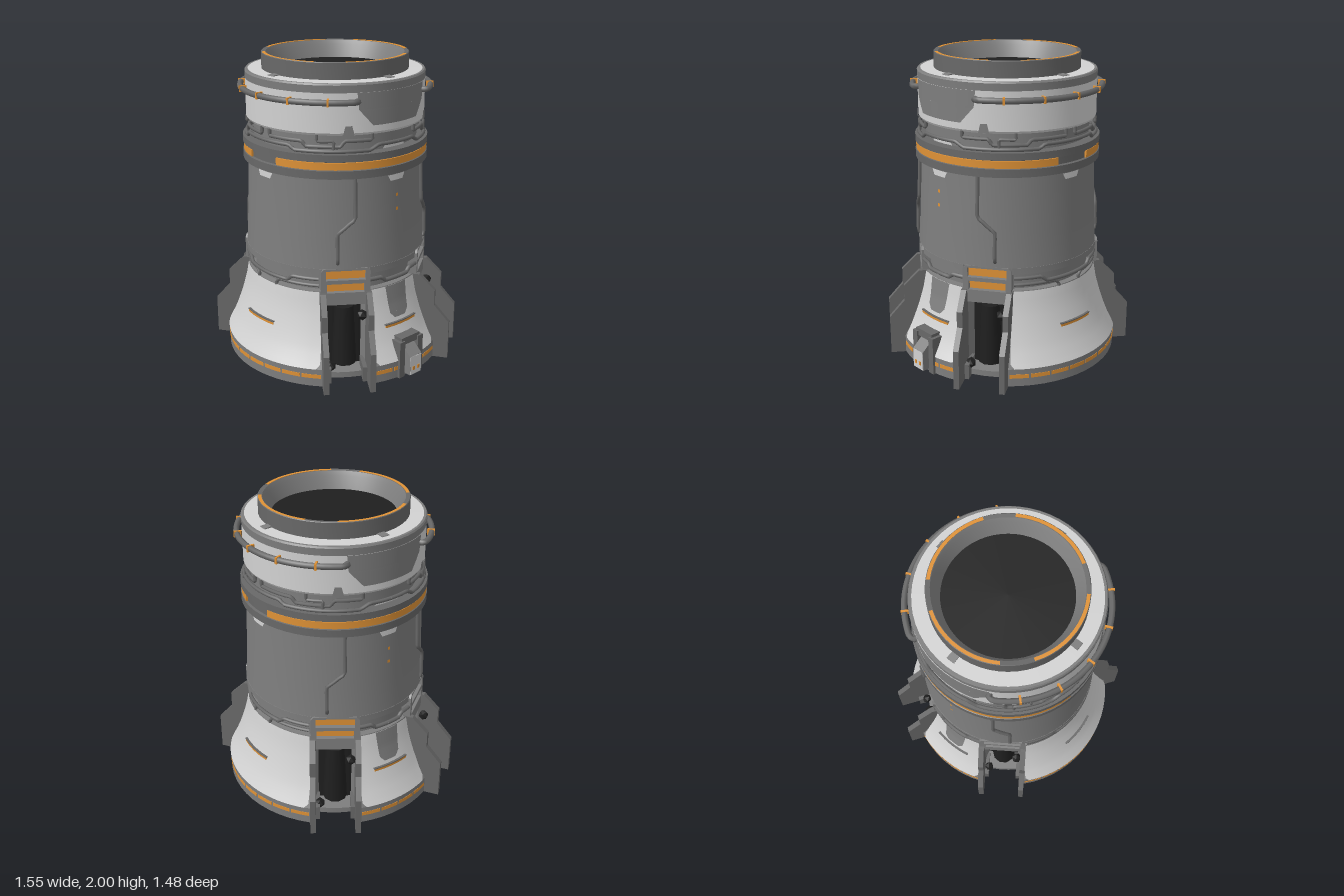
import * as THREE from 'three';
import { mergeGeometries, toCreasedNormals } from 'three/addons/utils/BufferGeometryUtils.js';

const D = Math.PI / 180;
const BAYS = [55.5, 124.5, 235.5, 304.5];   // leg bays, degrees from the front (+z) towards +x
const SKIRTS = [[0, 43], [90, 22], [180, 43], [270, 22]];
const V = (pts) => pts.map(([x, y]) => new THREE.Vector2(x, y));

export function createModel() {
  const root = new THREE.Group();
  root.name = 'tower';
  const model = new THREE.Group();
  model.name = 'towerBody';
  model.position.x = -0.0125;
  root.add(model);

  const paint = (name, color) => {
    const m = new THREE.MeshStandardMaterial({ color });
    m.name = name;
    return m;
  };
  const gray = paint('bodyGray', 0x7e7e7e);
  const dark = paint('trimGray', 0x686868);
  const light = paint('panelLightGray', 0xd2d2d2);
  const orange = paint('accentOrange', 0xdf9236);
  const black = paint('interiorBlack', 0x1f1f1f);

  const add = (name, geo, mat, parent = model) => {
    const m = new THREE.Mesh(geo, mat);
    m.name = name;
    parent.add(m);
    return m;
  };

  // Full turn of an (r, y) profile listed from bottom to top on the outside
  const turn = (name, mat, pts) =>
    add(name, toCreasedNormals(new THREE.LatheGeometry(V(pts), 56), 0.45), mat);

  // Capped arc of a closed (r, y) profile
  const sector = (name, mat, centre, half, pts) => {
    const a = (centre - half) * D, b = (centre + half) * D;
    const segs = Math.max(2, Math.ceil(half / 3.2));
    const side = toCreasedNormals(new THREE.LatheGeometry(V([...pts, pts[0]]), segs, a, b - a), 0.45);
    const start = new THREE.ShapeGeometry(new THREE.Shape(V(pts))).rotateY(a - Math.PI / 2);
    const end = new THREE.ShapeGeometry(new THREE.Shape(V(pts.map(([x, y]) => [-x, y])))).rotateY(b + Math.PI / 2);
    return add(name, mergeGeometries([side, start.toNonIndexed(), end.toNonIndexed()]), mat);
  };
  const block = (name, mat, centre, half, r0, r1, y0, y1) =>
    sector(name, mat, centre, half, [[r0, y0], [r1, y0], [r1, y1], [r0, y1]]);

  // Painted face wrapped on the wall; half width runs from h0 (bottom) to h1 (top)
  const decal = (name, mat, centre, h0, h1, y0, y1, radius) => {
    const geo = new THREE.PlaneGeometry(2, 1, Math.max(2, Math.ceil(h1 / 2.5)), 8);
    const p = geo.attributes.position;
    for (let i = 0; i < p.count; i++) {
      const v = p.getY(i) + 0.5, y = y0 + (y1 - y0) * v;
      const phi = (centre + p.getX(i) * (h0 + (h1 - h0) * v)) * D;
      const r = radius(y) + 0.005;
      p.setXYZ(i, r * Math.sin(phi), y, r * Math.cos(phi));
    }
    geo.computeVertexNormals();
    return add(name, geo, mat);
  };

  // Pipe through [degrees, y, r] stops, following the round wall
  const pipe = (name, mat, stops, thick) => {
    const pts = [];
    stops.forEach((s, i) => {
      const n = stops[i + 1];
      const steps = n ? Math.max(2, Math.ceil(Math.abs(n[0] - s[0]) / 5)) : 1;
      for (let k = 0; k < steps; k++) {
        const [a, y, r] = n ? s.map((c, j) => c + (n[j] - c) * k / steps) : s;
        pts.push(new THREE.Vector3(r * Math.sin(a * D), y, r * Math.cos(a * D)));
      }
    });
    const curve = new THREE.CatmullRomCurve3(pts, false, 'catmullrom', 0.3);
    return add(name, new THREE.TubeGeometry(curve, pts.length * 2, thick, 7), mat);
  };

  const skirtProfile = [[0.735, 0.12], [0.68, 0.225], [0.636, 0.35], [0.603, 0.47], [0.583, 0.585]];
  const skirtRadius = (y) => {
    let i = 0;
    while (i < skirtProfile.length - 2 && y > skirtProfile[i + 1][1]) i++;
    const [r0, y0] = skirtProfile[i], [r1, y1] = skirtProfile[i + 1];
    return r0 + (r1 - r0) * (y - y0) / (y1 - y0);
  };
  const bodyRadius = (y) => 0.595 - 0.025 * (y - 0.7) / 0.625;

  // Floor, dark core and main barrel
  turn('floor', gray, [[0.62, 0.002], [0.62, 0.04], [0, 0.04]]);
  add('underside', new THREE.CircleGeometry(0.62, 56).rotateX(Math.PI / 2), light);
  turn('innerCore', black, [[0.5, 0.04], [0.5, 0.6]]);
  turn('lowerRecess', gray, [[0.45, 0.56], [0.54, 0.56], [0.54, 0.75]]);
  turn('barrel', gray, [[0.53, 0.74], [0.593, 0.74], [0.582, 0.95], [0.57, 1.33]]);

  // Collar with orange band
  turn('collar', dark, [[0.55, 1.325], [0.6, 1.325], [0.6, 1.375], [0.585, 1.38], [0.585, 1.425],
    [0.6, 1.43], [0.6, 1.475], [0.53, 1.475]]);
  for (const a of [90, 270]) block('collarBand', orange, a, 78, 0.58, 0.596, 1.38, 1.425);

  // Upper drum, deck and muzzle ring
  turn('upperRecess', gray, [[0.53, 1.47], [0.53, 1.59]]);
  turn('upperDrum', light, [[0.52, 1.585], [0.565, 1.585], [0.575, 1.6], [0.575, 1.84]]);
  turn('drumLip', gray, [[0.575, 1.84], [0.577, 1.885], [0.57, 1.895], [0.555, 1.895]]);
  turn('deck', light, [[0.555, 1.895], [0.46, 1.897]]);
  turn('topRing', dark, [[0.469, 1.89], [0.469, 1.996], [0.465, 2], [0.44, 1.997]]);
  turn('funnel', gray, [[0.44, 1.997], [0.425, 1.97], [0.387, 1.88]]);
  add('opening', new THREE.CircleGeometry(0.392, 56).rotateX(-Math.PI / 2).translate(0, 1.888, 0), black);
  for (const a of [0, 90, 180, 270]) {
    block('rimLight', orange, a, 33, 0.444, 0.465, 1.985, 2);
    sector('deckBracket', gray, a, 3, [[0.46, 1.89], [0.52, 1.89], [0.515, 1.9], [0.46, 1.905]]);
    decal('collarTab', light, a, 5, 7, 1.275, 1.312, bodyRadius);
  }
  for (const a of [90, 270]) {
    decal('drumNotchTop', gray, a, 27, 28, 1.74, 1.84, () => 0.574);
    decal('drumNotchBottom', gray, a, 18, 27, 1.64, 1.74, () => 0.574);
    decal('recessTab', light, a, 9.5, 7, 1.482, 1.515, () => 0.545);
    for (const y of [1.18, 1.09]) decal('markerLight', orange, a, 0.9, 0.9, y - 0.01, y + 0.01, bodyRadius);
  }
  for (const a of [57, 123, 237, 303]) decal('drumClip', gray, a, 3.4, 2, 1.59, 1.645, () => 0.576);

  // Handrail pipes on the drum, with clamps
  for (const a of [0, 180]) {
    pipe('drumRail', dark, [[a - 62, 1.79, 0.55], [a - 62, 1.79, 0.595], [a - 59, 1.79, 0.608],
      [a + 59, 1.79, 0.608], [a + 62, 1.79, 0.595], [a + 62, 1.79, 0.55]], 0.019);
    for (const c of [-45, -22.5, 0, 22.5, 45])
      block('railClamp', orange, a + c, 0.6, 0.58, 0.628, 1.77, 1.81);
  }

  // Small pipework in the two recesses
  for (const a of [0, 180]) {
    for (const s of [-1, 1]) {
      const run = (list, r) => list.map(([d, y]) => [a + s * d, y, r]);
      pipe('upperPipe', dark, run([[4, 1.59], [4, 1.545], [28, 1.545], [31, 1.515], [52, 1.515], [55, 1.55], [72, 1.55], [72, 1.59]], 0.562), 0.012);
      pipe('upperPipe', dark, run([[0, 1.515], [20, 1.515], [24, 1.49], [70, 1.49], [76, 1.52], [90, 1.52]], 0.575), 0.012);
      pipe('upperPipe', dark, run([[38, 1.59], [38, 1.55], [48, 1.55], [48, 1.48]], 0.57), 0.01);
      pipe('lowerPipe', dark, run([[39, 0.67], [22, 0.67], [18, 0.64], [0, 0.64]], 0.585), 0.012);
      pipe('lowerPipe', dark, run([[39, 0.625], [12, 0.625], [9, 0.6], [9, 0.58]], 0.58), 0.011);
      pipe('lowerPipe', dark, run([[70, 0.66], [78, 0.66], [81, 0.635], [90, 0.635]], 0.595), 0.014);
    }
  }

  // Skirt panels, base ring and its lights
  for (const [a, half] of SKIRTS) {
    const wide = half > 30;
    block('barrelHem', gray, a, half - 2.3, 0.53, 0.595, 0.7, 0.742);
    block('baseRing', gray, a, half, 0.5, 0.735, 0.003, 0.12);
    block('baseUnderside', light, a, half - 1, 0.61, 0.725, 0, 0.01);
    sector('skirt', gray, a, half, [[0.5, 0.12], ...skirtProfile, [0.5, 0.585]]);
    decal('skirtPanel', light, a, half - 3.5, half - 1.5, 0.122, 0.15, skirtRadius);
    decal('skirtPanel', light, a, half - 1.5, half - 1.5, 0.15, 0.583, skirtRadius);
    block('skirtSlotFrame', dark, a, 11.8, 0.6, 0.657, 0.345, 0.351);
    block('skirtSlotLight', orange, a, 11.4, 0.6, 0.654, 0.327, 0.346);
    if (!wide) {
      decal('skirtMark', gray, a, 4, 7, 0.375, 0.41, (y) => skirtRadius(y) + 0.003);
      decal('skirtMark', gray, a, 7, 8.5, 0.41, 0.583, (y) => skirtRadius(y) + 0.003);
    }
    const n = wide ? 8 : 4, step = (half - 0.5) * 2 / n;
    for (let i = 0; i < n; i++)
      block('baseLight', orange, a - half + 0.5 + step * (i + 0.5), step / 2 - 0.5, 0.72, 0.737, 0.058, 0.084);
  }

  // Leg bays: two fins, lintel, recessed lit control panel, dark machinery
  const finShape = new THREE.Shape(V([[0.46, 0], [0.815, 0], [0.815, 0.26], [0.715, 0.375],
    [0.715, 0.48], [0.61, 0.585], [0.46, 0.585]]));
  const frameShape = new THREE.Shape(V([[-0.155, 0.5], [0.155, 0.5], [0.155, 0.725], [0.135, 0.745],
    [-0.135, 0.745], [-0.155, 0.725]]));
  const windows = [[0.583, 0.642, 0.118], [0.667, 0.73, 0.125]];
  for (const [y0, y1, w] of windows)
    frameShape.holes.push(new THREE.Path(V([[-w, y0], [-w, y1], [w, y1], [w, y0]])));
  for (const a of BAYS) {
    const bay = new THREE.Group();
    bay.name = 'legBay';
    bay.rotation.y = (a - 90) * D;
    model.add(bay);
    for (const s of [-1, 1]) {
      const fin = new THREE.ExtrudeGeometry(finShape, { depth: 0.036, bevelEnabled: false });
      add('legFin', fin.translate(0, 0, s * 0.145 - 0.018), dark, bay);
      add('finFoot', new THREE.BoxGeometry(0.16, 0.1, 0.03).translate(0.6, 0.05, s * 0.115), dark, bay);
      add('bayJoint', new THREE.IcosahedronGeometry(0.035, 0).translate(0.62, s > 0 ? 0.09 : 0.44, s * 0.1), black, bay);
    }
    add('machinery', new THREE.CylinderGeometry(0.06, 0.08, 0.4, 10).translate(0.5, 0.26, 0), black, bay);
    add('lintel', new THREE.BoxGeometry(0.12, 0.08, 0.26).translate(0.52, 0.54, 0), gray, bay);
    const frame = new THREE.ExtrudeGeometry(frameShape, { depth: 0.06, bevelEnabled: false });
    add('panelFrame', frame.translate(0, 0, 0.53).rotateY(Math.PI / 2), gray, bay);
    for (const [y0, y1, w] of windows)
      add('panelLight', new THREE.BoxGeometry(0.02, y1 - y0, 2 * w).translate(0.55, (y0 + y1) / 2, 0), orange, bay);
    // Zigzag conduit climbing the barrel above the bay
    const s = a < 90 || (a > 180 && a < 270) ? 1 : -1;
    pipe('conduit', dark, [[a + s * 5.5, 1.33, 0.58], [a + s * 5.5, 1.07, 0.592], [a - s * 5, 0.97, 0.595],
      [a - s * 5, 0.79, 0.6], [a - s * 5, 0.77, 0.57]], 0.012);
  }

  // Access hatch on one side
  const hatch = new THREE.Group();
  hatch.name = 'accessHatch';
  model.add(hatch);
  for (const s of [-1, 1])
    add('hatchPost', new THREE.BoxGeometry(0.08, 0.25, 0.045).translate(0.705, 0.125, s * 0.08), dark, hatch);
  add('hatchTop', new THREE.BoxGeometry(0.1, 0.05, 0.16).translate(0.685, 0.245, 0), dark, hatch);
  add('hatchBack', new THREE.BoxGeometry(0.06, 0.22, 0.13).translate(0.68, 0.11, 0), dark, hatch);
  const body = new THREE.Shape(V([[0.66, 0.02], [0.785, 0.02], [0.785, 0.15], [0.72, 0.205], [0.66, 0.205]]));
  add('hatchBody', new THREE.ExtrudeGeometry(body, { depth: 0.1, bevelEnabled: false }).translate(0, 0, -0.05), gray, hatch);
  add('hatchPlate', new THREE.BoxGeometry(0.004, 0.126, 0.094).translate(0.786, 0.085, 0), light, hatch);
  for (const s of [-1, 1])
    add('hatchLight', new THREE.BoxGeometry(0.004, 0.025, 0.018).translate(0.789, 0.065, s * 0.02), orange, hatch);

  return root;
}
